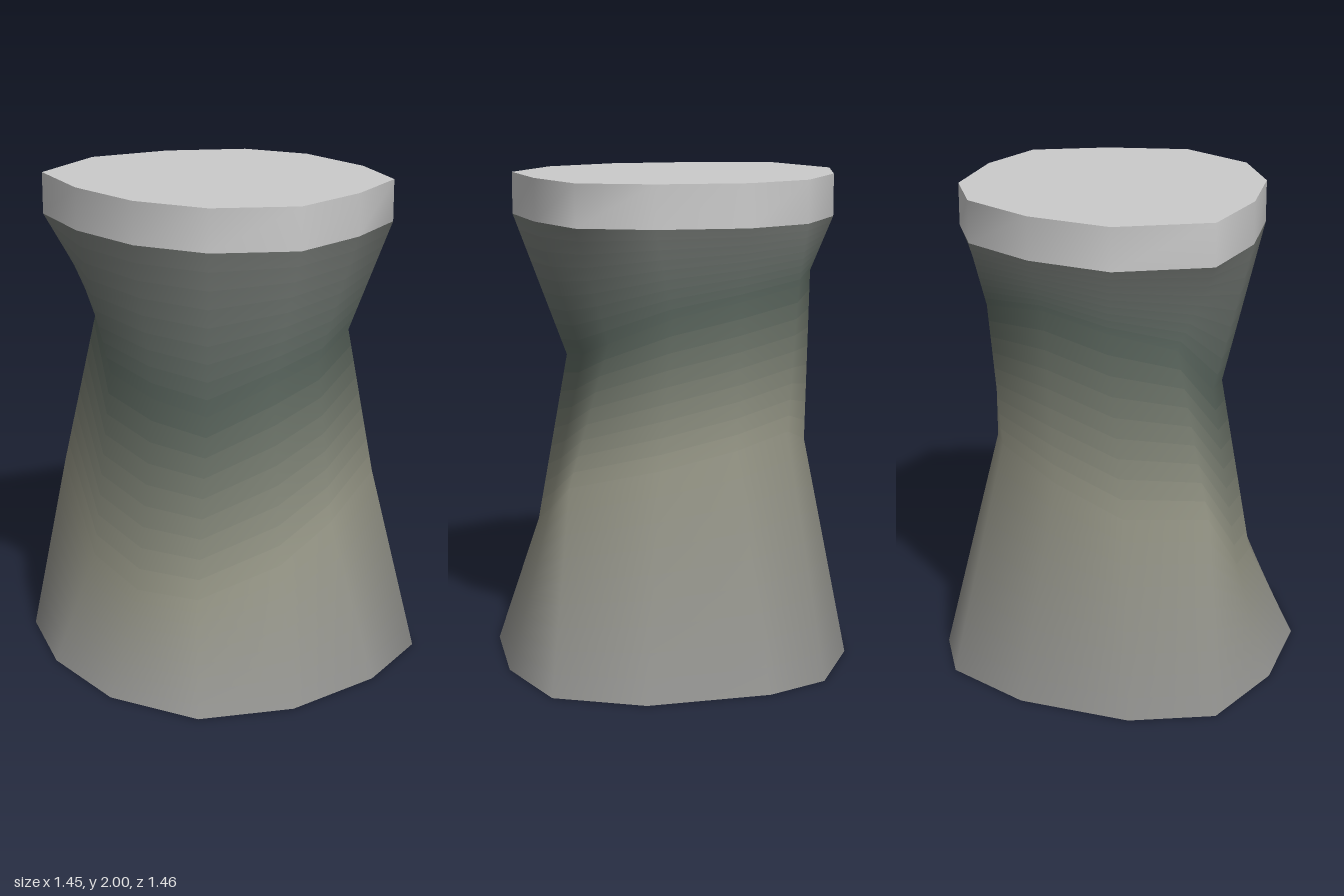
import * as THREE from 'three';

// Irregular twelve-sided outlines as [x, z], starting at the back and going towards +x
const BASE = [[-0.22, -0.73], [0.24, -0.68], [0.58, -0.5], [0.695, -0.25], [0.725, 0.25], [0.57, 0.6],
  [0.21, 0.73], [-0.22, 0.73], [-0.57, 0.56], [-0.725, 0.19], [-0.7, -0.23], [-0.55, -0.61]];
const TOP = [[-0.14, -0.685], [0.2, -0.61], [0.49, -0.43], [0.615, -0.17], [0.605, 0.19], [0.5, 0.48],
  [0.2, 0.6], [-0.14, 0.65], [-0.43, 0.46], [-0.565, 0.17], [-0.58, -0.18], [-0.5, -0.53]];

// Uneven rings below and at the waist as [x, y, z], in the same order
const LOWER = [[-0.16, 0.8, -0.58], [0.13, 0.9, -0.52], [0.385, 0.99, -0.385], [0.48, 0.94, -0.155],
  [0.475, 0.87, 0.15], [0.4, 0.8, 0.5], [0.13, 0.65, 0.545], [-0.15, 0.54, 0.56],
  [-0.445, 0.42, 0.405], [-0.54, 0.4, 0.135], [-0.54, 0.46, -0.16], [-0.475, 0.78, -0.455]];
const WAIST = [[-0.09, 1.55, -0.56], [0.17, 1.61, -0.525], [0.43, 1.58, -0.41], [0.48, 1.53, -0.17],
  [0.47, 1.47, 0.1], [0.4, 1.37, 0.34], [0.17, 1.29, 0.41], [-0.09, 1.25, 0.44],
  [-0.32, 1.13, 0.31], [-0.415, 1.17, 0.09], [-0.43, 1.22, -0.18], [-0.33, 1.45, -0.4]];

// Stem tint at each of its four rings, from foot to rim
const TINTS = [0x939391, 0x949484, 0x5a675f, 0x7e827e].map((c) => new THREE.Color(c));
const BANDS = 9;
const SIDES = TOP.length;

const level = (outline, y) => outline.map(([x, z]) => [x, y, z]);
const paint = (color) => new THREE.MeshStandardMaterial({ color, side: THREE.DoubleSide });

function finish(positions, index) {
  const geometry = new THREE.BufferGeometry();
  geometry.setAttribute('position', new THREE.Float32BufferAttribute(positions, 3));
  geometry.setIndex(index);
  geometry.computeVertexNormals();
  return geometry;
}

// Skins a stack of rings, from bottom to top
function loft(rings) {
  const index = [];
  for (let r = 0; r < rings.length - 1; r++) {
    for (let i = 0; i < SIDES; i++) {
      const a = r * SIDES + i;
      const b = r * SIDES + (i + 1) % SIDES;
      index.push(b, a, a + SIDES, b, a + SIDES, b + SIDES);
    }
  }
  return finish(rings.flat(2), index);
}

// Splits each section of a loft into thin bands, blending position and normal
function subdivide(rings) {
  const coarse = loft(rings);
  const blend = (attribute, r, t) => rings[0].map((_, i) => {
    const from = new THREE.Vector3().fromBufferAttribute(attribute, r * SIDES + i);
    const to = new THREE.Vector3().fromBufferAttribute(attribute, (r + 1) * SIDES + i);
    return from.lerp(to, t).toArray();
  });
  const points = [];
  const normals = [];
  for (let k = 0; k <= (rings.length - 1) * BANDS; k++) {
    const r = Math.min(Math.floor(k / BANDS), rings.length - 2);
    points.push(blend(coarse.attributes.position, r, k / BANDS - r));
    normals.push(blend(coarse.attributes.normal, r, k / BANDS - r));
  }
  const fine = loft(points);
  fine.setAttribute('normal', new THREE.Float32BufferAttribute(normals.flat(2), 3));
  fine.normalizeNormals();
  return fine;
}

// Flat lid over one ring, facing up
function lid(ring, y) {
  const index = ring.flatMap((_, i) => [SIDES, (i + 1) % SIDES, i]);
  return finish([...ring.flat(), 0, y, 0], index);
}

export function createModel() {
  const group = new THREE.Group();
  group.name = 'pedestal';
  const add = (name, geometry, material) => {
    const mesh = new THREE.Mesh(geometry, material);
    mesh.name = name;
    group.add(mesh);
  };

  const rimBottom = level(TOP, 1.83);
  const rimTop = level(TOP, 2);

  // Hollow stem, open at the foot, its tint shifting band by band
  const stem = subdivide([level(BASE, 0), LOWER, WAIST, rimBottom]);
  const stemPaints = [];
  for (let k = 0; k < (TINTS.length - 1) * BANDS; k++) {
    const r = Math.floor(k / BANDS);
    const tint = new THREE.Color().lerpColors(TINTS[r], TINTS[r + 1], (k + 0.5) / BANDS - r);
    stem.addGroup(k * SIDES * 6, SIDES * 6, k);
    stemPaints.push(paint(tint));
  }
  add('stem', stem, stemPaints);

  // Upright rim and flat top
  add('rim', loft([rimBottom, rimTop]), paint(0xc0c0c0));
  add('topSurface', lid(rimTop, 2), paint(0xcccccc));
  return group;
}
